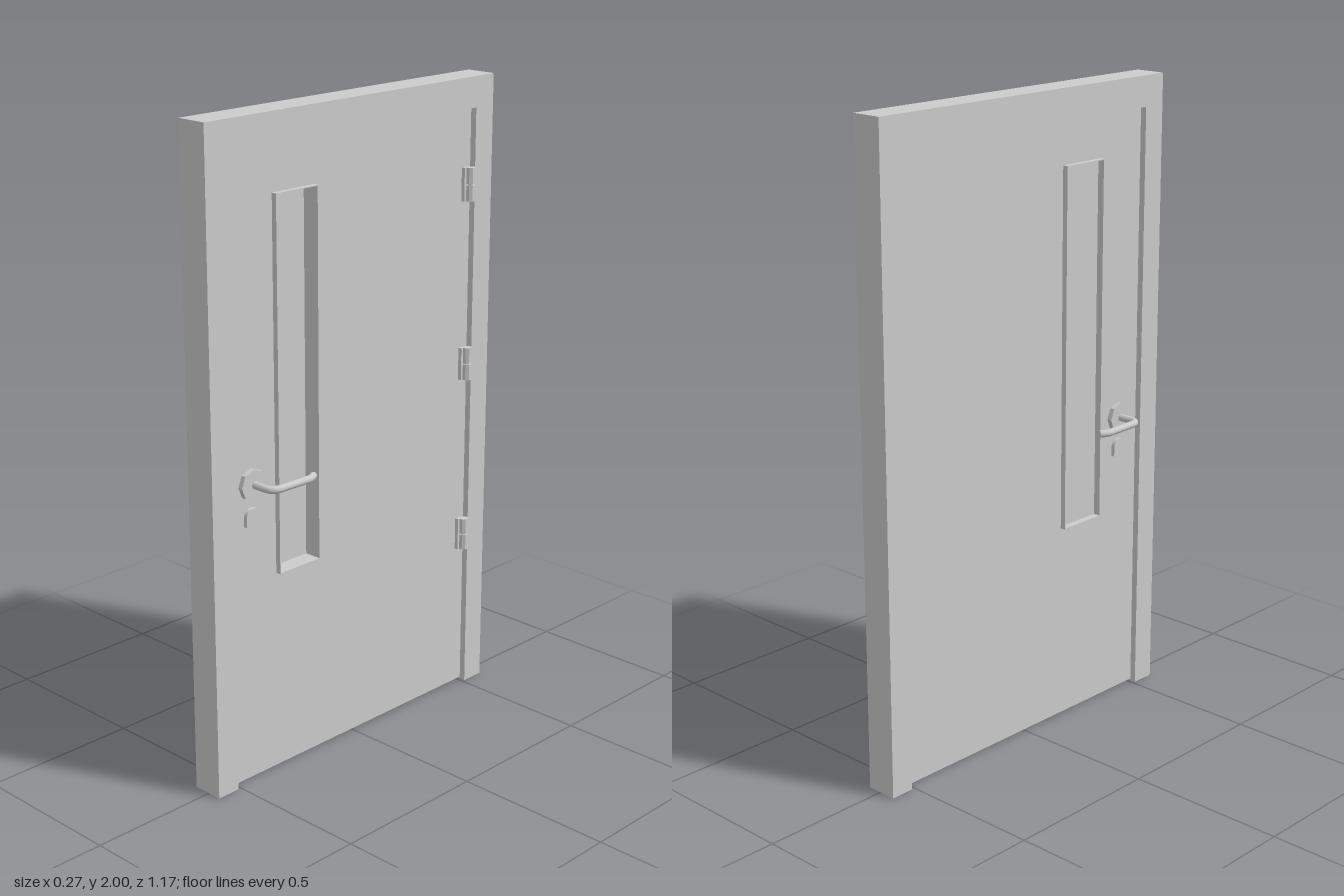
import * as THREE from 'three';

const grey = new THREE.MeshStandardMaterial({ color: 0xcccccc, side: THREE.DoubleSide });
const facet = new THREE.MeshStandardMaterial({ color: 0xcccccc, flatShading: true });

const MID = -0.005;       // centre plane of the wall thickness
const HALF = 0.05;        // half depth of the frame
const LEAF = 0.03;        // half thickness of the door leaf
const WIN = { z0: 0.16, z1: 0.325, y0: 0.635, y1: 1.77 };

function add(parent, name, geometry, material = grey) {
  const mesh = new THREE.Mesh(geometry, material);
  mesh.name = name;
  parent.add(mesh);
  return mesh;
}

function box(parent, name, x0, x1, y0, y1, z0, z1) {
  const mesh = add(parent, name, new THREE.BoxGeometry(x1 - x0, y1 - y0, z1 - z0));
  mesh.position.set((x0 + x1) / 2, (y0 + y1) / 2, (z0 + z1) / 2);
  return mesh;
}

const rectPoints = (z0, z1, y0, y1) =>
  [[-z0, y0], [-z1, y0], [-z1, y1], [-z0, y1]].map(p => new THREE.Vector2(...p));

// Extrudes a profile drawn in (-z, y) along x, from x0 to x1
function slab(shape, x0, x1) {
  const g = new THREE.ExtrudeGeometry(shape, { depth: x1 - x0, bevelEnabled: false, curveSegments: 6 });
  return g.rotateY(Math.PI / 2).translate(x0, 0, 0);
}

function pane(z0, z1, y0, y1, hole) {
  const shape = new THREE.Shape(rectPoints(z0, z1, y0, y1));
  shape.holes.push(new THREE.Path(rectPoints(...hole)));
  return shape;
}

// Rose, lever and lock cover for one face, built facing +x from the centre plane
function handleSet(name) {
  const set = new THREE.Group();
  set.name = name;

  const rose = add(set, 'handleRose', new THREE.CylinderGeometry(0.048, 0.048, 0.016, 8), facet);
  rose.rotation.z = -Math.PI / 2;
  rose.position.set(LEAF + 0.008, 0.94, 0.422);

  const path = new THREE.CurvePath();
  const v = (x, z) => new THREE.Vector3(x, 0.94, z);
  path.add(new THREE.LineCurve3(v(LEAF, 0.42), v(0.085, 0.42)));
  path.add(new THREE.QuadraticBezierCurve3(v(0.085, 0.42), v(0.118, 0.42), v(0.119, 0.388)));
  path.add(new THREE.LineCurve3(v(0.119, 0.388), v(0.122, 0.28)));
  path.add(new THREE.QuadraticBezierCurve3(v(0.122, 0.28), v(0.122, 0.268), v(0.109, 0.248)));
  add(set, 'lever', new THREE.TubeGeometry(path, 28, 0.0115, 10));
  const cap = add(set, 'leverEnd', new THREE.CircleGeometry(0.0115, 10));
  cap.position.copy(path.getPoint(1));
  cap.lookAt(cap.position.clone().add(path.getTangent(1)));

  const cover = new THREE.Shape();
  cover.moveTo(-0.45, 0.815);
  cover.lineTo(-0.396, 0.815);
  cover.lineTo(-0.396, 0.842);
  cover.absarc(-0.423, 0.842, 0.027, 0, Math.PI);
  cover.closePath();
  add(set, 'lockCover', slab(cover, LEAF - 0.002, LEAF + 0.012));
  set.position.x = MID;
  return set;
}

function hinge(y) {
  const group = new THREE.Group();
  group.name = 'hinge';
  const face = MID + LEAF;
  box(group, 'hingePlate', face - 0.002, face + 0.012, -0.052, 0.052, -0.495, -0.472);
  for (const s of [-1, 1]) {
    const knuckle = add(group, 'hingeKnuckle', new THREE.CylinderGeometry(0.015, 0.015, 0.05, 8), facet);
    knuckle.position.set(0.042, s * 0.027, -0.494);
    knuckle.rotation.y = Math.PI / 8;
  }
  const pin = add(group, 'hingePin', new THREE.CylinderGeometry(0.009, 0.009, 0.1, 8), facet);
  pin.position.set(0.042, 0, -0.494);
  group.position.y = y;
  return group;
}

export function createModel() {
  const model = new THREE.Group();
  model.name = 'door';

  // Three-sided frame, open at the floor
  const outline = [[-0.587, 0], [-0.51, 0], [-0.51, 1.905], [0.51, 1.905],
    [0.51, 0], [0.587, 0], [0.587, 2], [-0.587, 2]];
  const frame = new THREE.Shape(outline.map(p => new THREE.Vector2(...p)));
  add(model, 'frame', slab(frame, MID - HALF, MID + HALF));

  // Leaf with a tall narrow window opening
  const { z0, z1, y0, y1 } = WIN;
  const t = 0.003;
  const inner = [z0 + t, z1 - t, y0 + t, y1 - t];
  const leaf = pane(-0.51, 0.51, 0.006, 1.905, [z0, z1, y0, y1]);
  add(model, 'doorLeaf', slab(leaf, MID - LEAF, MID + LEAF));

  // Thin window surround standing proud of both faces, and the pane within
  add(model, 'windowSurround', slab(pane(z0, z1, y0, y1, inner), MID - 0.047, MID + 0.047));
  box(model, 'windowPane', -0.03, -0.014, y0 + t, y1 - t, z0 + t, z1 - t);

  // Handles on both faces; the second is turned over to mirror it
  model.add(handleSet('handleSetLeft'));
  const other = handleSet('handleSetRight');
  other.scale.x = -1;
  model.add(other);

  for (const y of [0.53, 1.103, 1.673]) model.add(hinge(y));

  return model;
}
